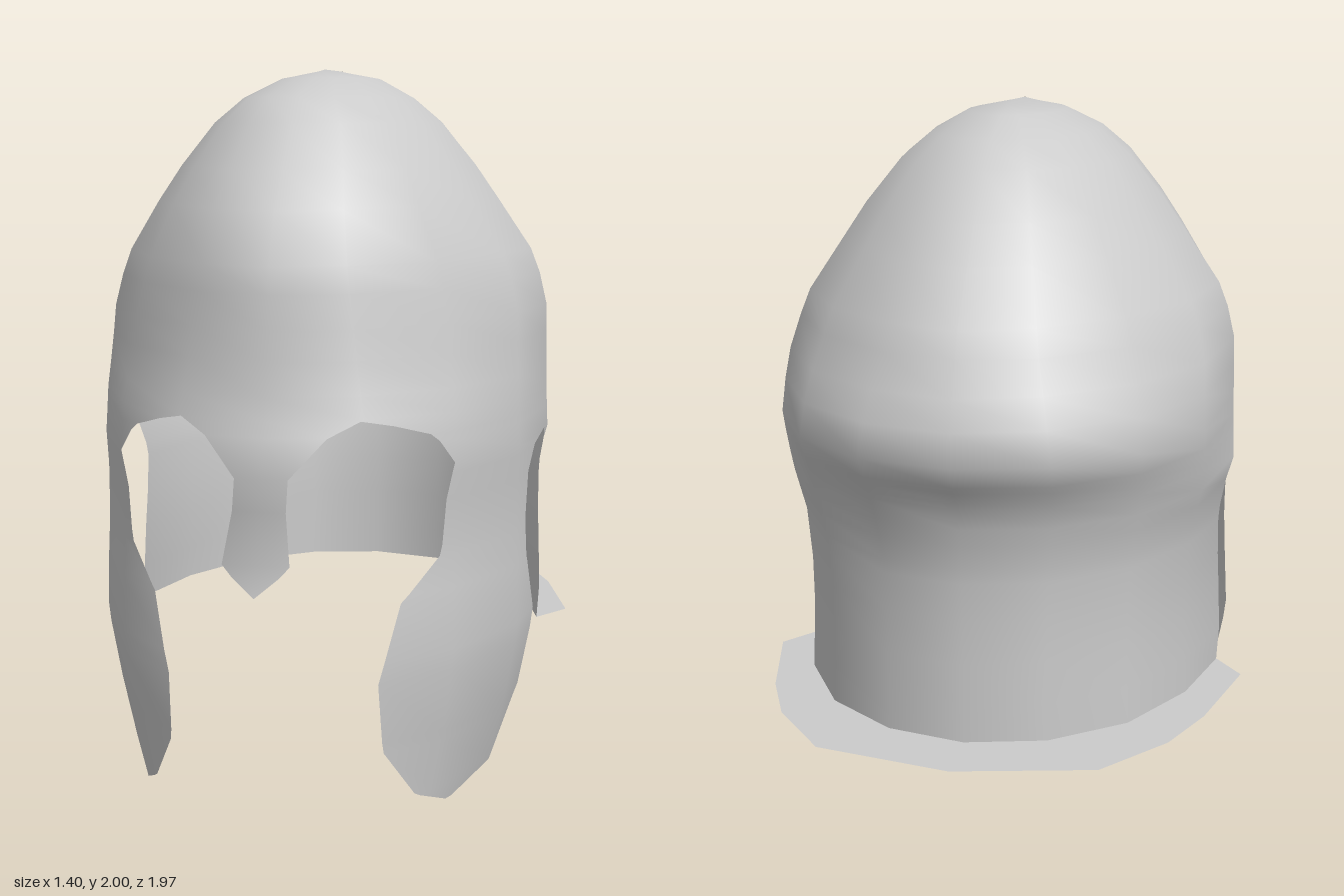
import * as THREE from 'three';

// Horizontal sections of the shell:
// height, half width of the front, front reach, back reach, half width of the back
const SECTIONS = [
  [2.0, 0, 0.11, 0.16, 0], [1.975, 0.14, 0.24, 0.25, 0.14], [1.92, 0.24, 0.46, 0.4, 0.24],
  [1.85, 0.325, 0.54, 0.5, 0.325], [1.73, 0.425, 0.655, 0.63, 0.425], [1.63, 0.495, 0.745, 0.71, 0.495],
  [1.49, 0.59, 0.815, 0.83, 0.59], [1.42, 0.617, 0.825, 0.86, 0.617], [1.33, 0.638, 0.833, 0.9, 0.638],
  [1.25, 0.64, 0.84, 0.93, 0.64], [1.16, 0.642, 0.85, 0.94, 0.642], [1.1, 0.643, 0.862, 0.905, 0.643],
  [1.03, 0.645, 0.882, 0.86, 0.642], [0.97, 0.648, 0.892, 0.84, 0.636], [0.85, 0.643, 0.872, 0.81, 0.605],
  [0.7, 0.645, 0.87, 0.8, 0.592], [0.61, 0.648, 0.887, 0.8, 0.59], [0.46, 0.652, 0.894, 0.8, 0.592],
  [0.36, 0.64, 0.892, 0.8, 0.6], [0.24, 0.615, 0.877, 0.8, 0.6], [0.05, 0.568, 0.874, 0.8, 0.6],
  [0, 0.552, 0.88, 0.8, 0.6],
];
// How far the corners of each section are drawn in: height, front, back (1 is an ellipse)
const CORNERS = [
  [2, 1, 1.05], [1.85, 1, 1.05], [1.73, 1.06, 1.07], [1.63, 1.1, 1.09], [1.49, 1.17, 1.09], [1.42, 1.17, 1.08],
  [1.33, 1.14, 1.02], [1.25, 1.1, 0.95], [1.16, 1.04, 0.9], [1.1, 1, 0.92], [0.97, 1, 0.96], [0, 1, 0.97],
];
const PI = Math.PI, STEP = PI / 8; // sixteen sides

function lookUp(table, y) {
  let i = 0;
  while (i < table.length - 2 && table[i + 1][0] > y) i++;
  const a = table[i], b = table[i + 1];
  const t = THREE.MathUtils.clamp((a[0] - y) / (a[0] - b[0]), 0, 1);
  return a.map((v, k) => v + (b[k] - v) * t);
}

// Smooth section curve; angle 0 is the left side, PI / 2 the front
function ring(angle, y) {
  const [, wFront, front, back, wBack] = lookUp(SECTIONS, y);
  const [, frontPower, backPower] = lookUp(CORNERS, y);
  const c = Math.cos(angle), s = Math.sin(angle), behind = s < -1e-6;
  const px = behind ? backPower + 0.08 : frontPower;
  const pz = behind ? backPower - 0.1 : frontPower;
  return new THREE.Vector3(
    (behind ? wBack : wFront) * Math.sign(c) * Math.abs(c) ** px, y,
    (behind ? back : front) * Math.sign(s) * Math.abs(s) ** pz);
}

// Point on the sixteen-sided shell
function shell(angle, y) {
  const k = Math.floor(angle / STEP + 1e-6);
  const p = ring(k * STEP, y).lerp(ring((k + 1) * STEP, y), angle / STEP - k);
  // the nose guard is flat across and sweeps forward
  if (y < 1.1 && p.z > 0.5 && Math.abs(p.x) < 0.2) {
    const flat = Math.min(1, (1.1 - y) / 0.08);
    p.z += (0.862 + 0.29 * (1.1 - y) - p.z) * flat;
  }
  return p;
}

function shellNormal(angle, y) {
  if (y > 1.99) return new THREE.Vector3(0, 1, 0);
  const e = 0.05;
  const across = ring(angle + e, y).sub(ring(angle - e, y));
  const up = ring(angle, Math.min(2, y + e)).sub(ring(angle, Math.max(0, y - e)));
  return across.cross(up).negate().normalize();
}

// Angle on the left half where the section has the given x (front) or z
function angleWhere(y, axis, value) {
  for (let k = axis === 'x' ? 0 : -4; k < 4; k++) {
    const a = ring(k * STEP, y)[axis], b = ring((k + 1) * STEP, y)[axis];
    if ((value - a) * (value - b) <= 0) return (k + (value - a) / (b - a)) * STEP;
  }
  return PI / 2;
}

const material = new THREE.MeshStandardMaterial({ color: 0xcccccc, side: THREE.DoubleSide });

// Strip of shell; rows run downward as [y, first angle, last angle].
// Columns follow the sixteen corners and are held inside each row's edges.
function patch(name, rows) {
  const first = Math.floor(Math.min(...rows.map(r => r[1])) / STEP + 1e-6);
  const last = Math.ceil(Math.max(...rows.map(r => r[2])) / STEP - 1e-6);
  const positions = [], normals = [], index = [], n = last - first + 1;
  rows.forEach(([y, a, b], i) => {
    for (let j = 0; j < n; j++) {
      const angle = THREE.MathUtils.clamp((first + j) * STEP, a, b);
      positions.push(...shell(angle, y).toArray());
      normals.push(...shellNormal(angle, y).toArray());
      if (i && j) {
        const d = i * n + j, c = d - n;
        index.push(c - 1, c, d - 1, c, d, d - 1);
      }
    }
  });
  const g = new THREE.BufferGeometry();
  g.setAttribute('position', new THREE.Float32BufferAttribute(positions, 3));
  g.setAttribute('normal', new THREE.Float32BufferAttribute(normals, 3));
  g.setIndex(index);
  const mesh = new THREE.Mesh(g, material);
  mesh.name = name;
  return mesh;
}

export function createModel() {
  const helmet = new THREE.Group();
  helmet.name = 'helmet';
  // rows wrapping around the back from one side edge to the other
  const aroundBack = edge => edge.map(([y, z]) => {
    const a = angleWhere(y, 'z', z);
    return [y, PI - a, 2 * PI + a];
  });

  // Dome down to the top of the eye openings
  helmet.add(patch('dome', SECTIONS.filter(s => s[0] >= 1.1).map(s => [s[0], 0, 2 * PI])));

  // Band behind the eye openings
  helmet.add(patch('sideBand', aroundBack([[1.1, 0.8], [1.08, 0.74], [1.05, 0.67], [1.03, 0.655], [0.97, 0.63]])));

  // Neck guard behind the ear openings
  helmet.add(patch('neckGuard', aroundBack([
    [0.97, 0.04], [0.92, -0.07], [0.85, -0.1], [0.81, -0.11], [0.7, -0.1], [0.58, -0.09], [0.46, -0.085], [0.36, -0.08],
  ])));

  // Nose guard: height and half width
  const nose = [[1.1, 0.24], [1.06, 0.16], [0.96, 0.07], [0.88, 0.07], [0.75, 0.088], [0.72, 0.06], [0.67, 0]];
  helmet.add(patch('noseGuard', nose.map(([y, x]) => {
    const a = angleWhere(y, 'x', x);
    return [y, a, PI - a];
  })));

  // Cheek guards: height, back edge z, front edge z
  const cheek = [
    [0.97, 0.04, 0.63], [0.94, 0.15, 0.632], [0.87, 0.21, 0.635], [0.75, 0.235, 0.64], [0.72, 0.235, 0.645],
    [0.63, 0.23, 0.72], [0.61, 0.22, 0.74], [0.46, 0.16, 0.78], [0.4, 0.162, 0.79], [0.23, 0.17, 0.757],
    [0.2, 0.2, 0.75], [0.06, 0.32, 0.66], [0.05, 0.33, 0.645], [0, 0.5, 0.53],
  ].map(([y, b, f]) => [y, angleWhere(y, 'z', b), angleWhere(y, 'z', f)]);
  helmet.add(patch('leftCheekGuard', cheek));
  helmet.add(patch('rightCheekGuard', cheek.map(([y, a, b]) => [y, PI - b, PI - a])));

  // Flat flange around the foot of the neck guard
  const rimY = 0.36;
  const half = [[0.7, 0.19], [0.62, 0.51], [0.54, 0.7], [0.38, 0.9]];
  const outline = [...half, [0, 0.98], ...half.map(([x, d]) => [-x, d]).reverse()];
  const start = angleWhere(rimY, 'z', -0.08);
  for (let k = 8; k <= 16; k++) {
    const p = shell(THREE.MathUtils.clamp(k * STEP, PI - start, 2 * PI + start), rimY);
    outline.push([p.x, -p.z]);
  }
  const flange = new THREE.Mesh(
    new THREE.ShapeGeometry(new THREE.Shape(outline.map(p => new THREE.Vector2(...p)))).rotateX(-PI / 2), material);
  flange.position.y = rimY;
  flange.name = 'neckFlange';
  helmet.add(flange);

  return helmet;
}
